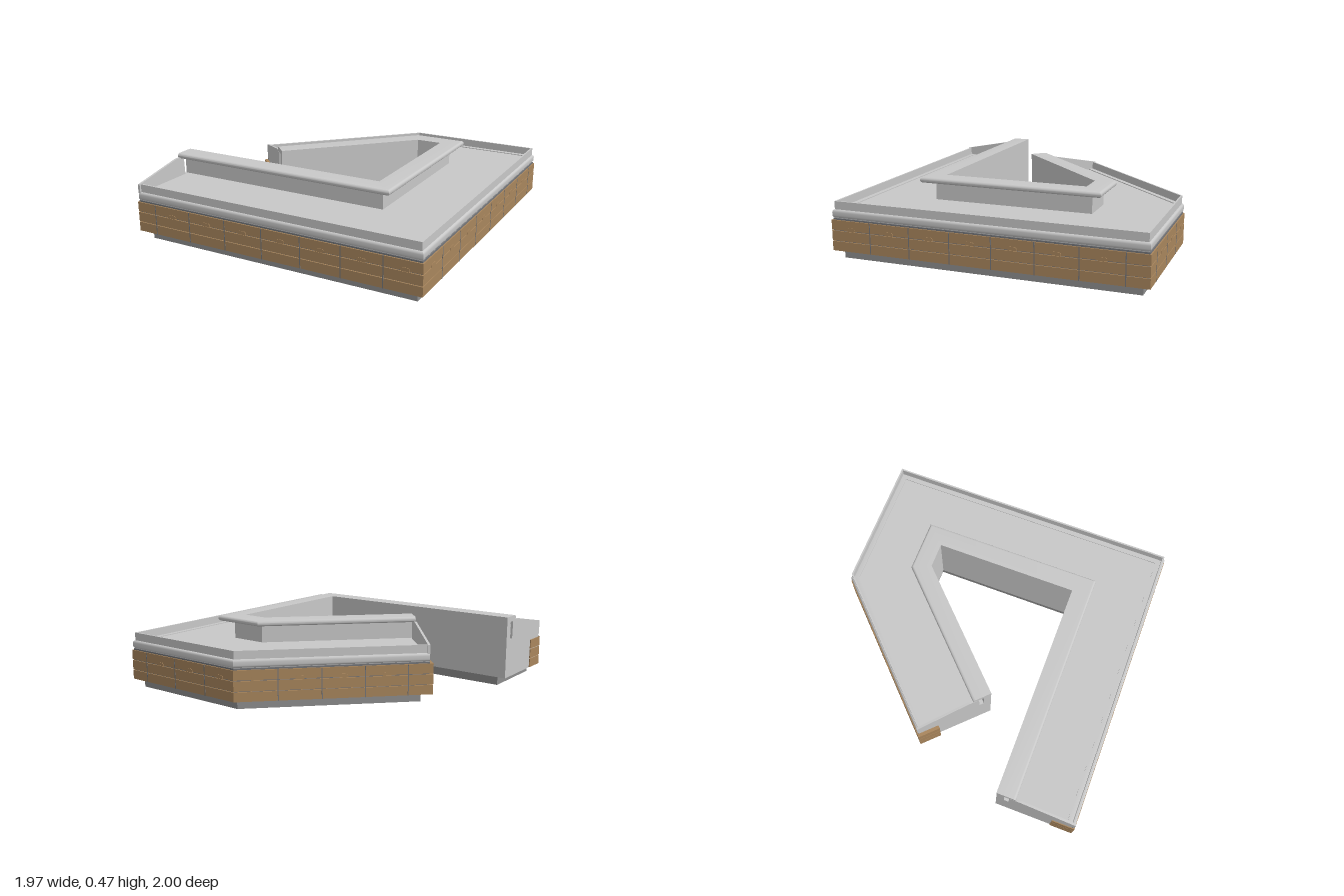
import * as THREE from 'three';
import { toCreasedNormals } from 'three/addons/utils/BufferGeometryUtils.js';

const paint = (name, color) => {
  const m = new THREE.MeshStandardMaterial({ color });
  m.name = name;
  return m;
};

// Outer line of the counter on the floor, as [x, z], from the front end round to the diagonal end
const OUTLINE = [[-0.985, 0.997], [0.982, 0.997], [0.982, -0.997], [0.07, -0.997], [-0.79, -0.137]]
  .map(([x, z]) => new THREE.Vector2(x, z));

const direction = (a, b) => b.clone().sub(a).normalize();
const inward = (d) => new THREE.Vector2(d.y, -d.x);

// Outline shortened at its two ends
function trimmed(start, end) {
  const p = OUTLINE.map((v) => v.clone());
  const n = p.length;
  p[0].addScaledVector(direction(p[0], p[1]), start);
  p[n - 1].addScaledVector(direction(p[n - 1], p[n - 2]), end);
  return p;
}

// Sweeps a closed profile of [inward offset, height] along a path with mitred corners
function sweep(path, points) {
  const profile = points.map(([o, y]) => new THREE.Vector2(o, y));
  if (THREE.ShapeUtils.area(profile) < 0) profile.reverse();
  const rings = path.map((p, i) => {
    const a = inward(i > 0 ? direction(path[i - 1], p) : direction(p, path[i + 1]));
    const b = inward(i < path.length - 1 ? direction(p, path[i + 1]) : direction(path[i - 1], p));
    const miter = a.clone().add(b).divideScalar(1 + a.dot(b));
    return profile.map((q) => [p.x + miter.x * q.x, q.y, p.y + miter.y * q.x]);
  });
  const pos = [];
  const tri = (...corners) => corners.forEach((c) => pos.push(...c));
  for (let s = 0; s < rings.length - 1; s++) {
    for (let i = 0; i < profile.length; i++) {
      const j = (i + 1) % profile.length;
      const r = rings[s], t = rings[s + 1];
      tri(r[i], r[j], t[j]);
      tri(r[i], t[j], t[i]);
    }
  }
  const first = rings[0], last = rings[rings.length - 1];
  for (const [a, b, c] of THREE.ShapeUtils.triangulateShape(profile, [])) {
    tri(first[c], first[b], first[a]);
    tri(last[a], last[b], last[c]);
  }
  const g = new THREE.BufferGeometry();
  g.setAttribute('position', new THREE.Float32BufferAttribute(pos, 3));
  return toCreasedNormals(g, 0.6);
}

const rect = (o0, o1, y0, y1) => [[o0, y0], [o1, y0], [o1, y1], [o0, y1]];

// Rectangle whose outer side is a rounded nose
function bullnose(o0, o1, y0, y1, r) {
  const pts = [[o1, y0], [o1, y1]];
  for (let i = 0; i <= 5; i++) {
    const a = (i / 5) * Math.PI / 2;
    pts.push([o0 + r - r * Math.sin(a), y1 - r + r * Math.cos(a)]);
  }
  for (let i = 0; i <= 5; i++) {
    const a = (i / 5) * Math.PI / 2;
    pts.push([o0 + r - r * Math.cos(a), y0 + r - r * Math.sin(a)]);
  }
  return pts;
}

export function createModel() {
  const steel = paint('light grey', 0xc8c8c8);
  const plinthGrey = paint('plinth grey', 0x8e8e8e);
  const trim = paint('trim grey', 0x74767a);
  const wood = paint('wood', 0xa9865d);

  const group = new THREE.Group();
  const add = (name, geometry, material) => {
    const m = new THREE.Mesh(geometry, material);
    m.name = name;
    group.add(m);
    return m;
  };

  const full = trimmed(0.006, 0.022);

  // Plinth, cabinet and worktop
  add('plinth', sweep(trimmed(0.065, 0.065), rect(0.05, 0.515, 0, 0.058)), plinthGrey);
  add('cabinetBody', sweep(full, rect(0.014, 0.525, 0.056, 0.312)), steel);
  add('panelBacking', sweep(full, rect(0.008, 0.02, 0.056, 0.262)), trim);
  add('edgeBumper', sweep(full, bullnose(0.005, 0.06, 0.262, 0.317, 0.018)), steel);
  add('outerLip', sweep(full, rect(0.017, 0.028, 0.31, 0.367)), steel);

  // Raised inner wall with its rounded service shelf
  add('innerWall', sweep(full, rect(0.475, 0.525, 0.3, 0.435)), steel);
  add('serviceShelf', sweep(full, bullnose(0.4, 0.527, 0.43, 0.466, 0.0175)), steel);

  // Short pieces that cross the two open ends
  const ends = (name, profile, inset, depth, material) => {
    [false, true].forEach((atEnd) => {
      const n = OUTLINE.length - 1;
      const p = atEnd ? OUTLINE[n] : OUTLINE[0];
      const d = atEnd ? direction(p, OUTLINE[n - 1]) : direction(p, OUTLINE[1]);
      const i = atEnd ? inset[1] : inset[0];
      const a = p.clone().addScaledVector(d, i);
      const b = p.clone().addScaledVector(d, i + depth);
      add(name, sweep(atEnd ? [b, a] : [a, b], profile), material);
    });
  };
  ends('endGuard', [[0.006, 0.31], [0.445, 0.31], [0.44, 0.43], [0.41, 0.437], [0.365, 0.437], [0.006, 0.367]],
    [0.005, 0.021], 0.015, steel);

  // Three rows of planks with dark gaps between them
  const rows = [[0.057, 0.117], [0.122, 0.184], [0.19, 0.252]];
  for (const [y0, y1] of rows) {
    add('plankRow', sweep(OUTLINE, rect(0, 0.013, y0, y1)), wood);
    ends('endPlank', rect(0.001, 0.15, y0, y1), [0, 0], 0.024, wood);
  }

  // Small arched tabs and upright joints, repeated along every side
  const tab = new THREE.Shape([[-0.027, 0], [0.027, 0], [0.027, 0.014], [0.018, 0.022], [-0.018, 0.022], [-0.027, 0.014]]
    .map(([x, y]) => new THREE.Vector2(x, y)));
  const tabGeometry = new THREE.ExtrudeGeometry(tab, { depth: 0.004, bevelEnabled: false });
  const jointGeometry = new THREE.BoxGeometry(0.006, 0.196, 0.004);
  const pitch = 0.265;
  const firstJoint = [0.14, 0.267, 0.14, 0.265];
  firstJoint.forEach((start, s) => {
    const a = OUTLINE[s], b = OUTLINE[s + 1];
    const d = direction(a, b), length = a.distanceTo(b);
    const place = (name, geometry, material, along, y, out) => {
      const m = add(name, geometry, material);
      const p = a.clone().addScaledVector(d, along).addScaledVector(inward(d), -out);
      m.position.set(p.x, y, p.y);
      m.rotation.y = Math.atan2(-d.y, d.x);
    };
    for (let t = start; t < length - 0.03; t += pitch) {
      place('panelJoint', jointGeometry, trim, t, 0.154, -0.001);
    }
    for (let t = start - pitch / 2; t < length - 0.03; t += pitch) {
      if (t > 0.03) place('panelTab', tabGeometry, wood, t, 0.187, -0.001);
    }
  });

  return group;
}
